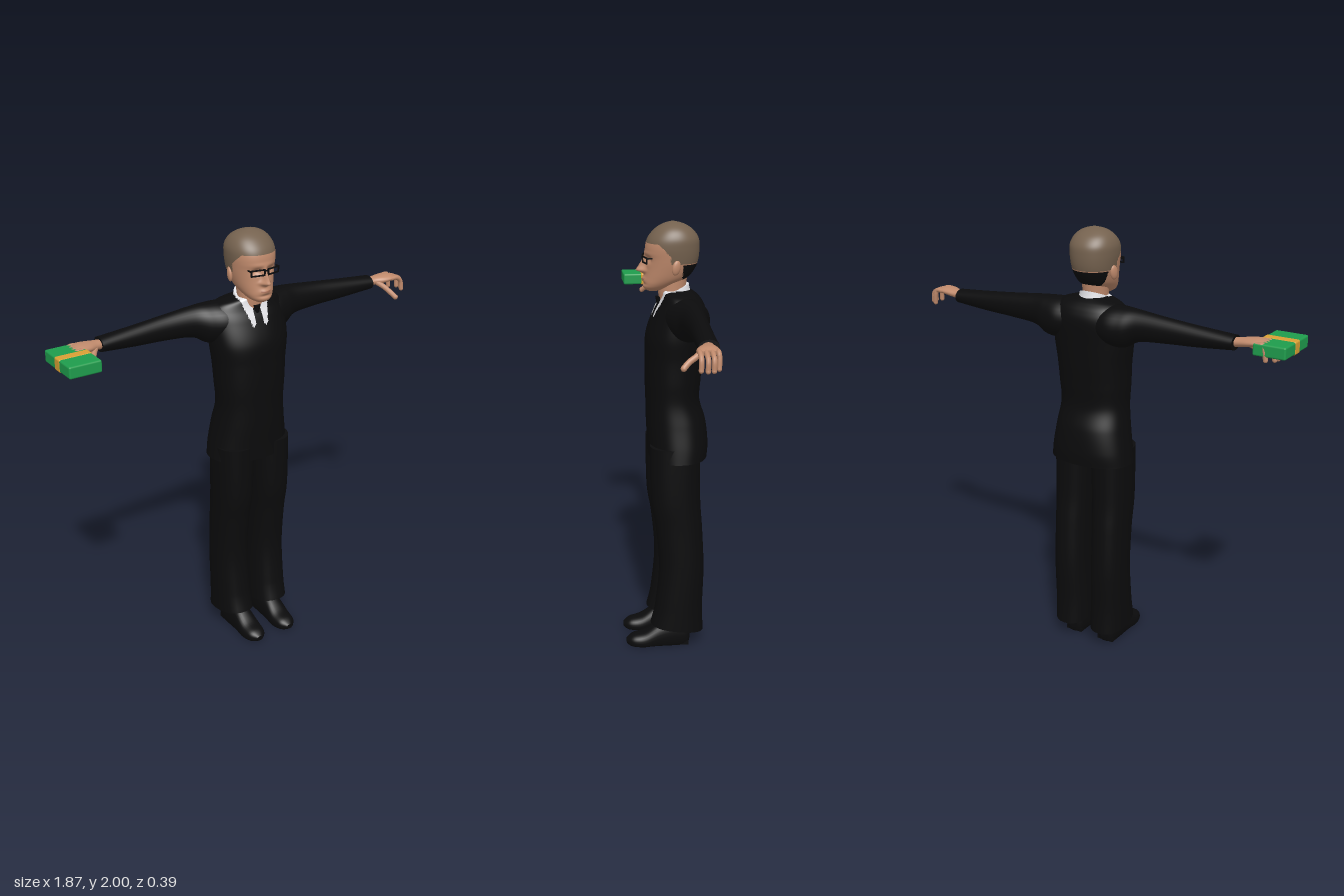
import * as THREE from 'three';
import { RoundedBoxGeometry } from 'three/addons/geometries/RoundedBoxGeometry.js';

const mat = (name, color) => Object.assign(new THREE.MeshStandardMaterial({ color }), { name });

// Maps (u, t, v) to space so that t runs along the chosen axis
const AXES = {
  y: (u, t, v) => [u, t, v],
  x: (u, t, v) => [t, v, u],
  z: (u, t, v) => [v, u, t],
};

// Smooth closed body through sections [t, centreU, centreV, radiusU, radiusV]
function loft(axis, sections, { seg = 32, steps = 32, e = 1, shape = null } = {}) {
  const sample = (f) => {
    const k = Math.min(f * (sections.length - 1), sections.length - 1.0001);
    const i = Math.floor(k), s = k - i;
    const at = (n) => sections[Math.max(0, Math.min(sections.length - 1, n))];
    return sections[i].map((_, c) => {
      const a = at(i - 1)[c], b = at(i)[c], d = at(i + 1)[c], g = at(i + 2)[c];
      const m0 = (d - a) / 2, m1 = (g - b) / 2;
      return (2 * s ** 3 - 3 * s * s + 1) * b + (s ** 3 - 2 * s * s + s) * m0
        + (3 * s * s - 2 * s ** 3) * d + (s ** 3 - s * s) * m1;
    });
  };
  const pos = [], index = [];
  const pow = (c) => Math.sign(c) * Math.abs(c) ** e;
  const put = (u, t, v) => {
    const p = AXES[axis](u, t, v);
    pos.push(...(shape ? shape(...p) : p));
  };
  const ring = ([t, cu, cv, ru, rv]) => {
    for (let i = 0; i < seg; i++) {
      const a = (i / seg) * Math.PI * 2;
      put(cu + ru * pow(Math.cos(a)), t, cv + rv * pow(Math.sin(a)));
    }
  };
  for (let j = 0; j <= steps; j++) ring(sample(j / steps));
  for (let j = 0; j < steps; j++) for (let i = 0; i < seg; i++) {
    const a = j * seg + i, b = j * seg + (i + 1) % seg;
    index.push(a, a + seg, b, b, a + seg, b + seg);
  }
  // End caps on their own vertices keep the rims sharp
  [0, 1].forEach((end) => {
    const s = sample(end), base = pos.length / 3;
    ring(s);
    put(s[1], s[0], s[2]);
    for (let i = 0; i < seg; i++) {
      const a = base + i, b = base + (i + 1) % seg, c = base + seg;
      index.push(...(end ? [a, c, b] : [a, b, c]));
    }
  });
  const g = new THREE.BufferGeometry();
  g.setAttribute('position', new THREE.Float32BufferAttribute(pos, 3));
  g.setIndex(index);
  g.computeVertexNormals();
  return g;
}

// Sorts the triangles into material groups by a rule on their centre
function paint(g, rule, count) {
  const p = g.attributes.position, idx = g.index.array;
  const bins = Array.from({ length: count }, () => []);
  for (let i = 0; i < idx.length; i += 3) {
    const t = [idx[i], idx[i + 1], idx[i + 2]];
    const mid = (f) => (p[f](t[0]) + p[f](t[1]) + p[f](t[2])) / 3;
    bins[rule(mid('getX'), mid('getY'), mid('getZ'))].push(...t);
  }
  g.setIndex(bins.flat());
  let start = 0;
  bins.forEach((b, i) => { g.addGroup(start, b.length, i); start += b.length; });
  return g;
}

export function createModel() {
  const suit = mat('black suit', 0x0b0b0c), skin = mat('skin', 0xc08a6c), hair = mat('brown hair', 0x75624f);
  const shirt = mat('white shirt', 0xe2e2e6), green = mat('green notes', 0x1f9d4d), gold = mat('gold band', 0xd9a035);
  const lip = mat('lips', 0xa86f58);
  const model = new THREE.Group();
  const person = new THREE.Group();
  person.name = 'person';
  person.position.x = 0.02;
  model.add(person);
  const add = (parent, name, g, m) => {
    const mesh = new THREE.Mesh(g, m);
    mesh.name = name;
    parent.add(mesh);
    return mesh;
  };

  // Jacket with the shirt opening and tie in front
  const jacket = loft('y', [
    [0.935, 0, -0.055, 0.2, 0.135], [1.0, 0, -0.056, 0.191, 0.138], [1.1, 0, -0.048, 0.175, 0.135],
    [1.2, 0, -0.033, 0.163, 0.122], [1.3, 0, -0.034, 0.169, 0.126], [1.4, 0, -0.039, 0.175, 0.13],
    [1.5, 0, -0.045, 0.187, 0.131], [1.6, 0, -0.065, 0.188, 0.116], [1.65, 0, -0.07, 0.178, 0.096],
    [1.68, 0, -0.062, 0.145, 0.078], [1.7, 0, -0.045, 0.068, 0.062],
  ], { seg: 160, steps: 110, e: 0.88 });
  paint(jacket, (x, y, z) => {
    const a = Math.abs(x);
    const open = z > -0.04 && y > 1.575 + Math.abs(a - 0.04) * 0.8 && a < 0.036 + (y - 1.575) * 0.3;
    return open && a > 0.017 ? 1 : 0;
  }, 2);
  add(person, 'jacket', jacket, [suit, shirt]);

  // Neck and tilted collar
  add(person, 'neck', loft('y', [[1.64, 0, -0.035, 0.058, 0.058], [1.7, 0, -0.03, 0.056, 0.062],
    [1.79, 0, -0.035, 0.06, 0.068]]), skin);
  add(person, 'collar', loft('y', [[1.645, 0, -0.045, 0.078, 0.074], [1.67, 0, -0.043, 0.07, 0.068],
    [1.698, 0, -0.042, 0.064, 0.064]], { steps: 8, shape: (x, y, z) => [x, y - (z + 0.03) * 0.4, z] }), shirt);
  const knot = add(person, 'tieKnot', new THREE.CylinderGeometry(0.017, 0.01, 0.035, 12), suit);
  knot.position.set(0, 1.652, 0.027);

  // Head: [y, front z, back z, half width]
  const bump = (d, w) => Math.exp(-((d / w) ** 2));
  const headRows = [
    [1.697, 0.078, 0.03, 0.022], [1.71, 0.096, -0.01, 0.046], [1.73, 0.099, -0.05, 0.064],
    [1.76, 0.094, -0.105, 0.08], [1.8, 0.088, -0.135, 0.092], [1.84, 0.086, -0.148, 0.1],
    [1.89, 0.088, -0.152, 0.106], [1.93, 0.076, -0.147, 0.104], [1.965, 0.047, -0.122, 0.086],
    [1.988, 0.012, -0.085, 0.055], [2.0, -0.025, -0.045, 0.012],
  ];
  const head = loft('y', headRows.map(([y, f, b, w]) => [y, 0, (f + b) / 2, w, (f - b) / 2]), {
    seg: 128, steps: 100, e: 0.93,
    shape: (x, y, z) => {
      if (z < 0.03) return [x, y, z];
      const ridge = y < 1.79 ? bump(y - 1.79, 0.012) : Math.max(0, 1 - (y - 1.79) / 0.075);
      const nose = 0.042 * ridge * bump(x, 0.011 + 0.008 * bump(y - 1.787, 0.015));
      const eyes = 0.013 * bump(Math.abs(x) - 0.034, 0.02) * bump(y - 1.838, 0.014);
      const brow = 0.005 * bump(y - 1.865, 0.01) * bump(x, 0.06);
      const lips = 0.008 * bump(y - 1.75, 0.011) * bump(x, 0.025);
      const fold = 0.006 * bump(y - 1.73, 0.007) * bump(x, 0.03);
      return [x, y, z + nose - eyes + brow + lips - fold];
    },
  });
  paint(head, (x, y, z) => {
    if (z < -0.07 && y < 1.82) return y > 1.738 ? 2 : 0;
    if (z > 0.05 && Math.abs(x) < 0.023 && Math.abs(y - 1.75) < 0.0035) return 3;
    const line = z > 0.04 ? 1.912 : z > -0.015 ? 1.86 + (z + 0.015) * 0.95 : 1.822;
    return y > line ? 1 : 0;
  }, 4);
  add(person, 'head', head, [skin, hair, suit, lip]);

  // Ears and square glasses
  for (const s of [-1, 1]) {
    const ear = add(person, 'ear', new THREE.SphereGeometry(1, 16, 12), skin);
    ear.scale.set(0.011, 0.033, 0.02);
    ear.position.set(s * 0.099, 1.81, -0.038);
    ear.rotation.set(-0.2, s * 0.3, 0);

    const rim = new THREE.Shape([[-0.034, -0.015], [0.034, -0.015], [0.034, 0.015], [-0.034, 0.015]]
      .map((p) => new THREE.Vector2(...p)));
    rim.holes.push(new THREE.Path([[-0.028, -0.009], [-0.028, 0.009], [0.028, 0.009], [0.028, -0.009]]
      .map((p) => new THREE.Vector2(...p))));
    const frame = add(person, 'glassesRim',
      new THREE.ExtrudeGeometry(rim, { depth: 0.005, bevelEnabled: false }), suit);
    frame.position.set(s * 0.039, 1.838, 0.092);
    frame.rotation.y = s * 0.2;
    const arm = add(person, 'glassesHinge', new THREE.BoxGeometry(0.004, 0.006, 0.025), suit);
    arm.position.set(s * 0.073, 1.848, 0.077);
  }
  add(person, 'glassesBridge', new THREE.BoxGeometry(0.014, 0.005, 0.005), suit).position.set(0, 1.845, 0.101);

  // Tapered finger along a curve with a round tip
  const finger = (parent, name, pts, r) => {
    const curve = new THREE.CatmullRomCurve3(pts.map((p) => new THREE.Vector3(...p)));
    const g = new THREE.TubeGeometry(curve, 14, r, 10);
    add(parent, name, g, skin);
    add(parent, name + 'Tip', new THREE.SphereGeometry(r, 10, 8), skin).position.copy(curve.getPoint(1));
  };

  // Limbs are made for one side and mirrored
  for (const [side, s] of [['left', 1], ['right', -1]]) {
    const half = new THREE.Group();
    half.name = side + 'Limbs';
    half.scale.x = s;
    person.add(half);

    add(half, 'sleeve', loft('x', [
      [0.05, -0.07, 1.595, 0.09, 0.08], [0.13, -0.08, 1.59, 0.1, 0.092], [0.2, -0.088, 1.592, 0.083, 0.09],
      [0.27, -0.093, 1.608, 0.058, 0.07], [0.4, -0.095, 1.608, 0.046, 0.057],
      [0.55, -0.092, 1.605, 0.043, 0.046], [0.72, -0.087, 1.605, 0.043, 0.032],
    ], { steps: 48 }), suit);

    // Hand with curled fingers and a hanging thumb
    add(half, 'palm', loft('x', [
      [0.7, -0.085, 1.605, 0.025, 0.021], [0.74, -0.08, 1.609, 0.029, 0.02], [0.78, -0.072, 1.614, 0.041, 0.02],
      [0.82, -0.068, 1.618, 0.045, 0.017], [0.85, -0.067, 1.616, 0.036, 0.01],
    ], { seg: 24, steps: 20 }), skin);
    [[0.87, -0.104], [0.9, -0.08], [0.905, -0.056], [0.89, -0.032]].forEach(([tip, z], i) => {
      finger(half, 'finger' + (i + 1), [[0.815, 1.617, z], [0.85, 1.617, z],
        [tip - 0.012, 1.597, z - 0.002], [tip - 0.006, 1.556, z]], 0.0105);
    });
    finger(half, 'thumb', [[0.75, 1.606, -0.06], [0.775, 1.585, -0.03], [0.788, 1.565, 0.002],
      [0.802, 1.545, 0.024]], 0.0125);

    // Trouser leg, its hem higher in front
    add(half, 'trouserLeg', loft('y', [
      [0.075, 0.098, -0.045, 0.087, 0.125], [0.2, 0.099, -0.053, 0.085, 0.112], [0.4, 0.102, -0.065, 0.081, 0.105],
      [0.6, 0.102, -0.053, 0.081, 0.108], [0.75, 0.1, -0.037, 0.086, 0.114], [1.0, 0.096, -0.035, 0.092, 0.115],
    ], {
      e: 0.85, steps: 40,
      shape: (x, y, z) => [x, y + Math.max(0, 0.2 - y) * 0.3 * Math.max(0, (z + 0.17) / 0.25), z],
    }), suit);

    // Shoe with a flat sole
    add(half, 'shoe', loft('z', [
      [-0.106, 0.05, 0.09, 0.03, 0.025], [-0.09, 0.05, 0.09, 0.07, 0.045], [-0.03, 0.05, 0.09, 0.085, 0.05],
      [0.04, 0.04, 0.089, 0.07, 0.051], [0.11, 0.02, 0.088, 0.045, 0.054], [0.165, 0.018, 0.088, 0.032, 0.044],
      [0.195, 0.018, 0.088, 0.012, 0.016],
    ], { e: 0.85, shape: (x, y, z) => [x, Math.max(0, y), z] }), suit);
    add(half, 'heel', new THREE.BoxGeometry(0.085, 0.02, 0.075), suit).position.set(0.09, 0.01, -0.06);
  }

  // Banded bundle of notes held in the right hand
  const bundle = new THREE.Group();
  bundle.name = 'noteBundle';
  bundle.position.set(-0.861, 1.598, 0);
  model.add(bundle);
  add(bundle, 'notes', new RoundedBoxGeometry(0.147, 0.054, 0.23, 3, 0.008), green);
  add(bundle, 'band', new RoundedBoxGeometry(0.151, 0.058, 0.05, 3, 0.008), gold).position.z = 0.003;
  return model;
}
